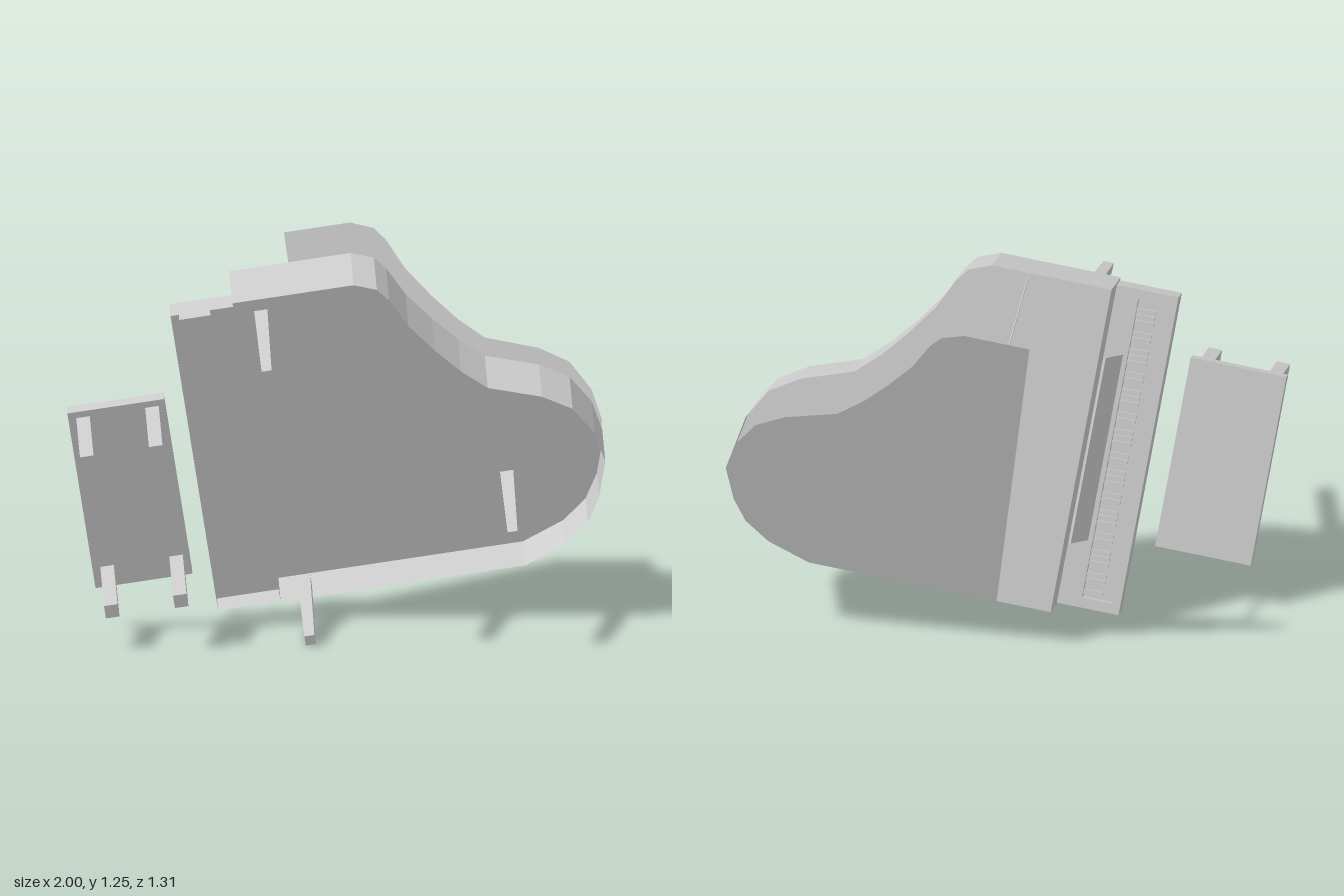
import * as THREE from 'three';

const grey = new THREE.MeshStandardMaterial({ color: 0xcccccc, side: THREE.DoubleSide, flatShading: true });
grey.name = 'plain grey';

// Lid outline: x runs from keyboard to tail, y from the hinged spine to the treble side
const lidOutline = [
  [0, 0], [0.645, 0], [0.79, 0.056], [0.875, 0.124], [0.925, 0.208], [0.965, 0.336],
  [0.945, 0.444], [0.885, 0.547], [0.79, 0.608], [0.615, 0.67], [0.535, 0.745],
  [0.46, 0.835], [0.385, 0.94], [0.335, 1.045], [0.3, 1.09], [0.225, 1.12], [0, 1.12],
];
const FRONT = -0.16, HINGE_X = 0.026, BASS = 0.058, TREBLE = 1.178;
const BOTTOM = 0.096, TOP = 0.353, BOARD = 0.287;

function add(parent, name, geometry) {
  const mesh = new THREE.Mesh(geometry, grey);
  mesh.name = name;
  parent.add(mesh);
  return mesh;
}

function box(parent, name, x0, x1, y0, y1, z0, z1) {
  const mesh = add(parent, name, new THREE.BoxGeometry(x1 - x0, y1 - y0, z1 - z0));
  mesh.position.set((x0 + x1) / 2, (y0 + y1) / 2, (z0 + z1) / 2);
  return mesh;
}

const rectangle = (x0, x1, z0, z1) => [[x0, z0], [x1, z0], [x1, z1], [x0, z1]];

// Flat horizontal sheet from an outline of [x, z] points, with an optional opening
function sheet(points, opening) {
  const flat = (list) => list.map(([x, z]) => new THREE.Vector2(x, -z));
  const shape = new THREE.Shape(flat(points));
  if (opening) shape.holes.push(new THREE.Path(flat(opening)));
  return new THREE.ShapeGeometry(shape).rotateX(-Math.PI / 2);
}

// Upright thin wall following a line of [x, z] points
function wall(points, y0, y1) {
  const pos = [];
  for (let i = 0; i < points.length - 1; i++) {
    const [x0, z0] = points[i], [x1, z1] = points[i + 1];
    pos.push(x0, y0, z0, x0, y1, z0, x1, y1, z1, x0, y0, z0, x1, y1, z1, x1, y0, z1);
  }
  const g = new THREE.BufferGeometry();
  g.setAttribute('position', new THREE.Float32BufferAttribute(pos, 3));
  g.computeVertexNormals();
  return g;
}

// Square leg that may taper towards the foot
function leg(parent, name, x, z, y0, y1, footWidth, topWidth) {
  const g = new THREE.CylinderGeometry(topWidth / Math.SQRT2, footWidth / Math.SQRT2, y1 - y0, 4)
    .rotateY(Math.PI / 4).toNonIndexed();
  g.computeVertexNormals();
  add(parent, name, g).position.set(x, (y0 + y1) / 2, z);
}

function buildCase(parent) {
  const outline = [[FRONT, BASS],
    ...lidOutline.slice(1, -1).map(([x, z]) => [x + HINGE_X, z + BASS]),
    [FRONT, TREBLE]];
  add(parent, 'caseRim', wall([...outline, outline[0]], BOTTOM, TOP));
  add(parent, 'soundboard', sheet(outline)).position.y = BOARD;
  add(parent, 'frontLid', sheet(rectangle(FRONT, HINGE_X, BASS, TREBLE))).position.y = TOP;

  // Raised lid, hinged along the spine
  const lid = add(parent, 'raisedLid', sheet(lidOutline));
  lid.position.set(HINGE_X, TOP, BASS);
  lid.rotation.x = -Math.PI / 6;

  // Flat prop stick from the treble rim to the lid
  const from = new THREE.Vector3(0.13, 0.298, 1.147), to = new THREE.Vector3(0.112, 0.84, 0.902);
  const prop = add(parent, 'lidProp', new THREE.BoxGeometry(0.004, from.distanceTo(to), 0.014));
  prop.position.copy(from).lerp(to, 0.5);
  prop.quaternion.setFromUnitVectors(new THREE.Vector3(0, 1, 0), to.clone().sub(from).normalize());

  // Leaning music stand
  const stand = box(parent, 'musicStand', -0.203, -0.195, 0.19, 0.32, 0.295, 0.94);
  stand.rotation.z = -0.35;

  for (const [x, z] of [[-0.07, 0.122], [-0.07, 1.115], [0.659, 0.392]])
    leg(parent, 'pianoLeg', x, z, -0.376, BOTTOM, 0.034, 0.045);
}

function buildKeyboard(parent) {
  const x0 = -0.372, z0 = 0.063, z1 = 1.167, bottom = 0.092, top = 0.187;
  const k0 = -0.346, k1 = -0.24, kz0 = z0 + 0.034, kz1 = z1 - 0.034;
  const trayBottom = 0.125, keyTop = 0.15;

  // Hollow shell with an opening for the sunken keys
  const opening = rectangle(k0, k1, kz0, kz1);
  add(parent, 'keyboardSides', wall([[FRONT, z0], [x0, z0], [x0, z1], [FRONT, z1]], bottom, top));
  add(parent, 'keyboardTop', sheet(rectangle(x0, FRONT, z0, z1), opening)).position.y = top;
  add(parent, 'keyTraySides', wall([...opening, opening[0]], trayBottom, top));
  add(parent, 'keyTrayBottom', sheet(opening)).position.y = trayBottom;
  add(parent, 'whiteKeys', sheet(opening)).position.y = keyTop;

  // Raised keys follow the octave pattern
  const count = 52, pitch = (kz1 - kz0) / count;
  for (let i = 1; i < count; i++) {
    const z = kz0 + i * pitch;
    if (![2, 5].includes(i % 7))
      box(parent, 'raisedKey', k1 - 0.065, k1, keyTop, keyTop + 0.018, z - 0.006, z + 0.006);
  }
}

function buildBench(parent) {
  box(parent, 'benchSeat', -0.762, -0.433, -0.06, -0.008, 0.283, 0.938);
  for (const x of [-0.712, -0.478])
    for (const z of [0.335, 0.893]) leg(parent, 'benchLeg', x, z, -0.372, -0.06, 0.046, 0.046);
}

export function createModel() {
  const model = new THREE.Group();
  model.name = 'grandPianoWithBench';
  const tilted = new THREE.Group();
  tilted.name = 'tiltedSet';
  for (const [name, build] of [['pianoCase', buildCase], ['keyboard', buildKeyboard], ['bench', buildBench]]) {
    const part = new THREE.Group();
    part.name = name;
    build(part);
    tilted.add(part);
  }
  // Whole set is tipped back with its underside towards the front
  const along = new THREE.Vector3(0.921, 0.15, 0.359).normalize();
  const across = along.clone().cross(new THREE.Vector3(0.319, 0.24, -0.917)).normalize();
  const up = across.clone().cross(along);
  tilted.applyMatrix4(new THREE.Matrix4().makeBasis(along, up, across));
  model.add(tilted);
  return model;
}
